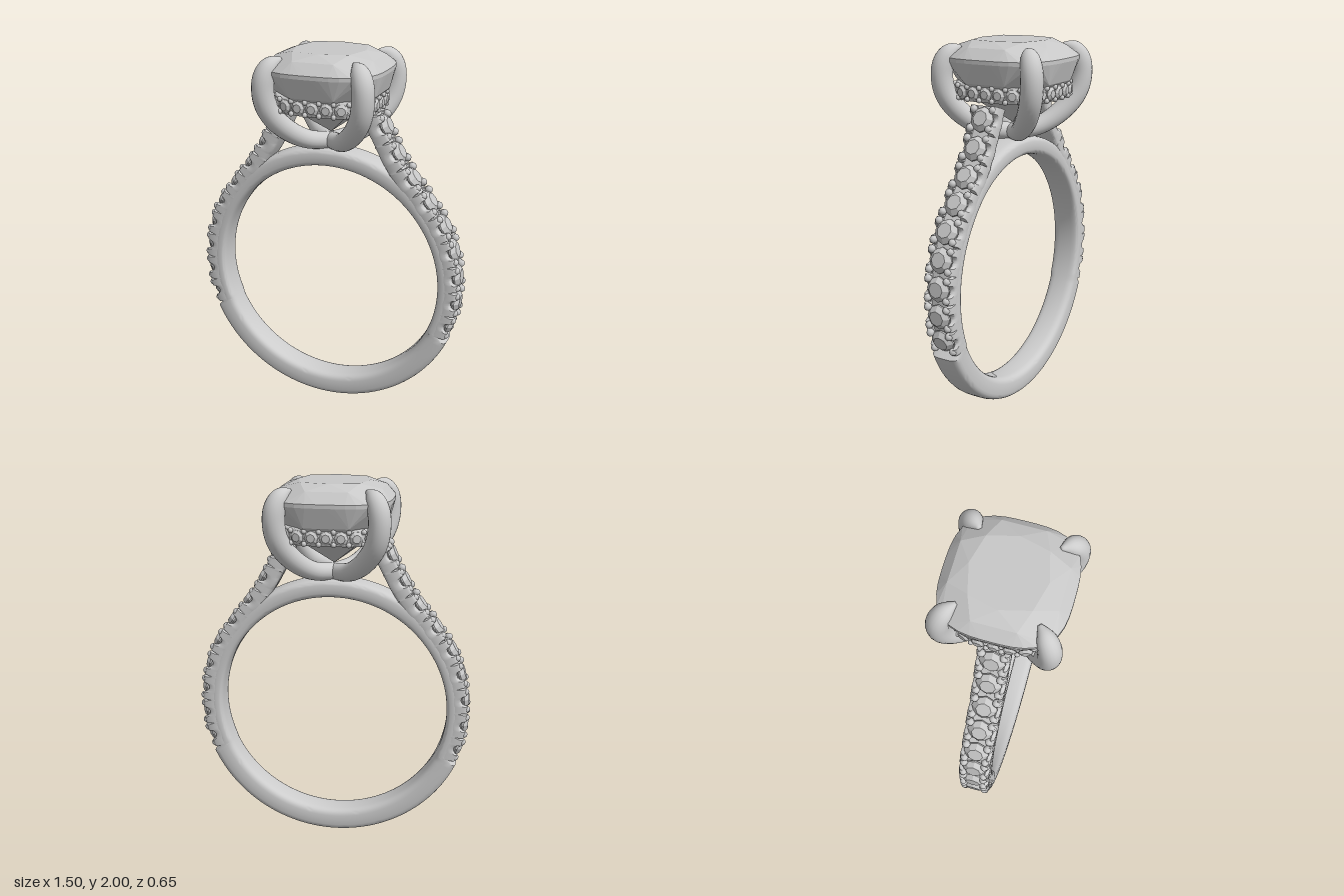
import * as THREE from 'three';
import { mergeGeometries, toCreasedNormals } from 'three/addons/utils/BufferGeometryUtils.js';
import { ConvexGeometry } from 'three/addons/geometries/ConvexGeometry.js';

const V = (x, y, z = 0) => new THREE.Vector3(x, y, z);
const Y = V(0, 1, 0), Z = V(0, 0, 1);
const soften = (v, p) => Math.sign(v) * Math.abs(v) ** p;

// Skin over a row of equal cross-section loops.
function loft(rings, closed) {
  const n = rings[0].length, pos = [], index = [];
  rings.forEach(r => r.forEach(p => pos.push(p.x, p.y, p.z)));
  const last = closed ? rings.length : rings.length - 1;
  for (let i = 0; i < last; i++) {
    const k = (i + 1) % rings.length;
    for (let j = 0; j < n; j++) {
      const m = (j + 1) % n;
      const a = i * n + j, b = k * n + j, c = k * n + m, d = i * n + m;
      index.push(a, b, d, b, c, d);
    }
  }
  const geo = new THREE.BufferGeometry();
  geo.setAttribute('position', new THREE.Float32BufferAttribute(pos, 3));
  geo.setIndex(index);
  geo.computeVertexNormals();
  return geo;
}

// Cross-section loop: section(u) gives [offset along normal, offset along side].
function loop(p, normal, side, count, section) {
  return Array.from({ length: count }, (_, j) => {
    const [a, b] = section(j / count * Math.PI * 2);
    return p.clone().addScaledVector(normal, a).addScaledVector(side, b);
  });
}

// Close the two ends of an open row of loops.
function capped(rings) {
  const point = r => {
    const c = r.reduce((s, p) => s.add(p), V(0, 0)).divideScalar(r.length);
    return r.map(() => c.clone());
  };
  return [point(rings[0]), ...rings, point(rings[rings.length - 1])];
}

// Copy of a geometry standing on a point, its y axis along the normal.
function placed(geo, p, normal) {
  const q = new THREE.Quaternion().setFromUnitVectors(Y, normal);
  return geo.clone().applyMatrix4(new THREE.Matrix4().compose(p, q, V(1, 1, 1)));
}

// Small faceted round stone, girdle at y = 0.
function smallStone(r) {
  const profile = [[0, -0.7], [1, -0.08], [1, 0.05], [0.6, 0.4], [0, 0.4]]
    .map(([x, y]) => new THREE.Vector2(x * r, y * r));
  const geo = new THREE.LatheGeometry(profile, 8).toNonIndexed();
  geo.computeVertexNormals();
  return geo;
}

// Cushion outline: a square with bowed sides and round corners.
function cushion(half, y, a) {
  const c = Math.cos(a), s = Math.sin(a), n = 3.1;
  const r = half / (Math.abs(c) ** n + Math.abs(s) ** n) ** (1 / n);
  return V(r * c, y, -r * s);
}

export function createModel() {
  const model = new THREE.Group();
  const metal = new THREE.MeshStandardMaterial({ color: 0xcccccc });
  metal.name = 'silver metal';
  const gem = new THREE.MeshStandardMaterial({ color: 0xc8c8c8 });
  gem.name = 'pale stone';
  const add = (name, geo, mat, parent = model) => {
    const mesh = new THREE.Mesh(geo, mat);
    mesh.name = name;
    parent.add(mesh);
    return mesh;
  };

  // Finger band, thinner where the stone-set shoulders cover it
  const bandRings = [];
  for (let i = 0; i < 180; i++) {
    const a = i / 180 * Math.PI * 2, e = Math.asin(Math.sin(a));
    const inner = 0.625;
    const outer = e < -0.4 ? 0.753 : 0.7 + 0.025 * THREE.MathUtils.smoothstep(e, 0.6, 0.95);
    const dir = V(Math.cos(a), Math.sin(a));
    const centre = V(0, 0.755).addScaledVector(dir, (inner + outer) / 2);
    bandRings.push(loop(centre, dir, Z, 28, u => [
      (outer - inner) / 2 * soften(Math.cos(u), 0.55), 0.083 * soften(Math.sin(u), 0.5)]));
  }
  add('band', toCreasedNormals(loft(bandRings, true), 0.8), metal);

  // Shoulders: scalloped, slit rails holding a row of nine stones
  const edge = new THREE.CatmullRomCurve3([
    [0.69, 0.47], [0.735, 0.6], [0.75, 0.75], [0.735, 0.92], [0.675, 1.1],
    [0.575, 1.25], [0.44, 1.43], [0.355, 1.58], [0.3, 1.7]].map(p => V(...p)));
  const frame = t => [edge.getPointAt(t), edge.getTangentAt(t), edge.getTangentAt(t).cross(Z)];
  const count = 9, steps = count * 24, shoulderRings = [];
  for (let i = 0; i <= steps; i++) {
    const [p, , normal] = frame(i / steps);
    const g = Math.abs((i / 24) % 1 - 0.5);
    let inset = 0.008;
    if (g < 0.2) inset += 0.035 * Math.sqrt(1 - (g / 0.2) ** 2);
    if (g > 0.46) inset = 0.05;
    shoulderRings.push(loop(p, normal, Z, 24, u => {
      const b = 0.083 * soften(Math.sin(u), 0.4);
      const top = Math.cos(u) > 0 && Math.abs(b) < 0.05 ? 0.045 : inset;
      return [-(top + 0.11) / 2 + (0.11 - top) / 2 * soften(Math.cos(u), 0.4), b];
    }));
  }
  const shoulderGeo = toCreasedNormals(loft(capped(shoulderRings)), 0.6);
  const stoneGeo = smallStone(0.067), beadGeo = new THREE.SphereGeometry(0.021, 8, 6);
  const stones = [], beads = [];
  for (let k = 0; k < count; k++) {
    const [p, tangent, normal] = frame((k + 0.5) / count);
    stones.push(placed(stoneGeo, p.clone().addScaledVector(normal, -0.03), normal));
    for (const s of [-1, 1]) for (const z of [-0.056, 0.056]) {
      beads.push(placed(beadGeo, p.clone().addScaledVector(tangent, s * 0.05)
        .addScaledVector(normal, -0.02).setZ(z), normal));
    }
  }
  const stoneRow = mergeGeometries(stones), beadRow = mergeGeometries(beads);
  for (const [name, turn] of [['left', 0], ['right', Math.PI]]) {
    const shoulder = new THREE.Group();
    shoulder.name = name + 'Shoulder';
    shoulder.rotation.y = turn;
    add(name + 'Rail', shoulderGeo, metal, shoulder);
    add(name + 'Stones', stoneRow, gem, shoulder);
    add(name + 'Beads', beadRow, metal, shoulder);
    model.add(shoulder);
  }

  // Main cushion-cut stone: [half width, height, corners, turn in steps]
  const cut = [];
  for (const [half, y, n, turn] of [
    [0.19, 2.0, 8, 0], [0.268, 1.97, 8, 0.5], [0.315, 1.915, 40, 0], [0.315, 1.895, 40, 0],
    [0.288, 1.79, 8, 0.5], [0.18, 1.69, 8, 0], [0, 1.56, 1, 0]]) {
    for (let i = 0; i < n; i++) cut.push(cushion(half, y, (i + turn) / n * Math.PI * 2));
  }
  add('mainStone', new ConvexGeometry(cut), gem);

  // Halo under the main stone, set with outward-facing stones
  const outline = new THREE.CatmullRomCurve3(
    Array.from({ length: 64 }, (_, i) => cushion(0.268, 1.74, i / 32 * Math.PI)), true);
  const haloRings = [], haloStones = [], haloBeads = [];
  const outward = t => outline.getTangentAt(t).cross(Y).normalize();
  for (let i = 0; i < 96; i++) {
    haloRings.push(loop(outline.getPointAt(i / 96), outward(i / 96), Y, 16, u => [
      -0.018 + 0.02 * soften(Math.cos(u), 0.4), 0.044 * soften(Math.sin(u), 0.4)]));
  }
  const haloStone = smallStone(0.036), haloBead = new THREE.SphereGeometry(0.014, 8, 6);
  for (let k = 0; k < 24; k++) {
    const n = outward(k / 24);
    haloStones.push(placed(haloStone, outline.getPointAt(k / 24).addScaledVector(n, 0.004), n));
    const m = (k + 0.5) / 24;
    for (const dy of [-0.032, 0.032]) {
      const p = outline.getPointAt(m).addScaledVector(outward(m), 0.006);
      haloBeads.push(placed(haloBead, p.setY(1.74 + dy), Y));
    }
  }
  add('haloRing', toCreasedNormals(loft(haloRings, true), 0.8), metal);
  add('haloStones', mergeGeometries(haloStones), gem);
  add('haloBeads', mergeGeometries(haloBeads), metal);

  // Four claw prongs: [distance along x, height, radius], turned to the corners
  const claw = new THREE.CatmullRomCurve3([
    [0, 1.512, 0.045], [0.1, 1.535, 0.05], [0.19, 1.61, 0.056], [0.25, 1.71, 0.058],
    [0.268, 1.81, 0.058], [0.26, 1.89, 0.056], [0.235, 1.94, 0.045], [0.195, 1.968, 0.01]]
    .map(([x, y, r]) => V(x * Math.SQRT2, y, r)));
  const clawRings = [];
  for (let i = 0; i <= 40; i++) {
    const p = claw.getPoint(i / 40), r = p.z;
    const normal = claw.getTangent(i / 40).setZ(0).normalize().cross(Z);
    clawRings.push(loop(p.setZ(0), normal, Z, 20, u => [r * Math.cos(u), r * Math.sin(u)]));
  }
  const clawGeo = loft(capped(clawRings));
  for (let k = 0; k < 4; k++) {
    add('prong' + (k + 1), clawGeo, metal).rotation.y = Math.PI / 4 + k * Math.PI / 2;
  }
  return model;
}
